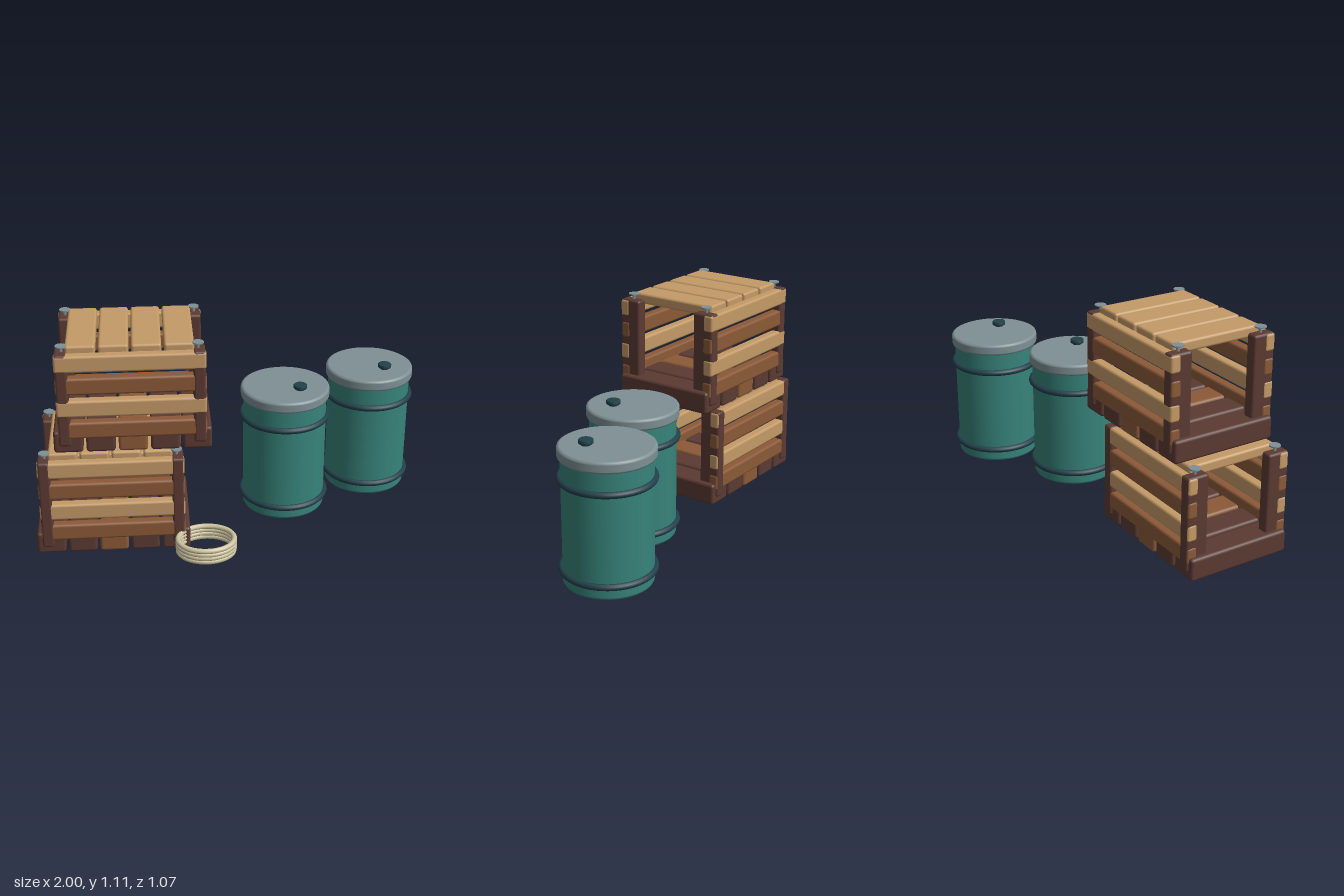
import * as THREE from 'three';
import { RoundedBoxGeometry } from 'three/addons/geometries/RoundedBoxGeometry.js';

const mat = (name, color) => {
  const m = new THREE.MeshStandardMaterial({ color });
  m.name = name;
  return m;
};

export function createModel() {
  const tan = mat('lightWood', 0xc49a67);
  const brown = mat('midWood', 0x8b5a38);
  const dark = mat('darkWood', 0x5b3a33);
  const teal = mat('tealPaint', 0x37837a);
  const grey = mat('greyMetal', 0x7e9094);
  const navy = mat('darkMetal', 0x22404a);
  const hemp = mat('rope', 0xcec4a0);

  const add = (parent, name, geometry, material, x = 0, y = 0, z = 0) => {
    const mesh = new THREE.Mesh(geometry, material);
    mesh.name = name;
    mesh.position.set(x, y, z);
    parent.add(mesh);
    return mesh;
  };
  const box = (w, h, d, r = 0.013) => new RoundedBoxGeometry(w, h, d, 2, r);

  // Open-ended crate: floor planks, corner posts, side slats, lid planks, nails
  const crate = (name, x, y, z, lightOut) => {
    const g = new THREE.Group();
    g.name = name;
    g.position.set(x, y, z);
    for (let i = -2; i <= 2; i++) {
      add(g, 'floorPlank', box(0.142, 0.115, 0.55, 0.015), i === 0 ? brown : dark, i * 0.157, 0.0575, 0);
    }
    for (const s of [-1, 1]) {
      for (const e of [-1, 1]) {
        add(g, 'cornerPost', box(0.06, 0.48, 0.116), dark, e * 0.328, 0.28, s * 0.229);
        add(g, 'nailHead', new THREE.CylinderGeometry(0.028, 0.028, 0.006, 20), grey, e * 0.323, 0.547, s * 0.228);
        add(g, 'nailShaft', new THREE.CylinderGeometry(0.008, 0.008, 0.04, 10), grey, e * 0.323, 0.527, s * 0.228);
      }
      for (let i = 0; i < 4; i++) {
        const light = i % 2 === 1;
        const out = light ? lightOut : -0.002;
        add(g, 'sideSlat', box(0.722, 0.087, 0.055), light ? tan : brown, 0, 0.123 + i * 0.1167, s * (0.2595 + out));
      }
    }
    for (let i = 0; i < 4; i++) {
      add(g, 'lidPlank', box(0.143, 0.056, 0.488), tan, (i - 1.5) * 0.156, 0.522, 0);
    }
    return g;
  };

  // Barrel with two hoops, a rimmed lid and an off-centre bung
  const barrel = (name, x, z) => {
    const g = new THREE.Group();
    g.name = name;
    g.position.set(x, 0, z);
    const lathe = (pts) => {
      // Doubled corner points keep the bevels crisp
      const geo = new THREE.LatheGeometry(pts.map(([r, h]) => new THREE.Vector2(r, h)), 48);
      return geo;
    };
    const body = [[0, 0.025], [0.203, 0.025], [0.204, 0.025], [0.211, 0.028], [0.215, 0.036], [0.215, 0.038],
      [0.215, 0.65], [0.215, 0.66], [0, 0.66]];
    const lid = [[0, 0.647], [0.216, 0.647], [0.217, 0.647], [0.226, 0.651], [0.229, 0.658], [0.229, 0.66],
      [0.229, 0.692], [0.229, 0.694], [0.226, 0.701], [0.218, 0.705], [0.217, 0.705], [0, 0.705]];
    add(g, 'body', lathe(body), teal);
    add(g, 'lid', lathe(lid), grey);
    for (const h of [0.095, 0.547]) {
      const hoop = add(g, 'hoop', new THREE.TorusGeometry(0.219, 0.016, 12, 48), navy, 0, h, 0);
      hoop.rotation.x = Math.PI / 2;
    }
    const bung = [[0, 0.712], [0.031, 0.712], [0.035, 0.716], [0.035, 0.73], [0.031, 0.734], [0, 0.734]];
    add(g, 'bung', lathe(bung), navy, 0.07, 0, 0.065);
    add(g, 'bungNeck', new THREE.CylinderGeometry(0.022, 0.022, 0.02, 20), navy, 0.07, 0.71, 0.065);
    return g;
  };

  // Coiled rope: flat oval turns, each stepping up just before it closes
  const rope = () => {
    const g = new THREE.Group();
    g.name = 'ropeCoil';
    g.position.set(-0.155, 0, 0.4);
    const turns = 4, steps = 64, pts = [];
    for (let i = 0; i <= turns * steps; i++) {
      const t = i / steps, a = t * Math.PI * 2;
      const turn = Math.min(Math.floor(t), turns - 1);
      const rise = turn < turns - 1 ? THREE.MathUtils.smoothstep(t - turn, 0.92, 1) : 0;
      pts.push(new THREE.Vector3(Math.cos(a) * 0.141, 0.037 + (turn + rise) * 0.02, -Math.sin(a) * 0.117));
    }
    const curve = new THREE.CatmullRomCurve3(pts);
    add(g, 'ropeStrand', new THREE.TubeGeometry(curve, 320, 0.0135, 10), hemp);
    for (const p of [pts[0], pts[pts.length - 1]]) {
      add(g, 'ropeEnd', new THREE.SphereGeometry(0.0135, 10, 8), hemp, p.x, p.y, p.z);
    }
    return g;
  };

  const model = new THREE.Group();
  model.name = 'cargoStack';
  model.add(
    crate('lowerCrate', -0.615, 0.004, 0.055, -0.002),
    crate('upperCrate', -0.5, 0.56, 0.03, 0.001),
    barrel('nearBarrel', 0.286, -0.085),
    barrel('farBarrel', 0.763, -0.305),
    rope(),
  );
  return model;
}
